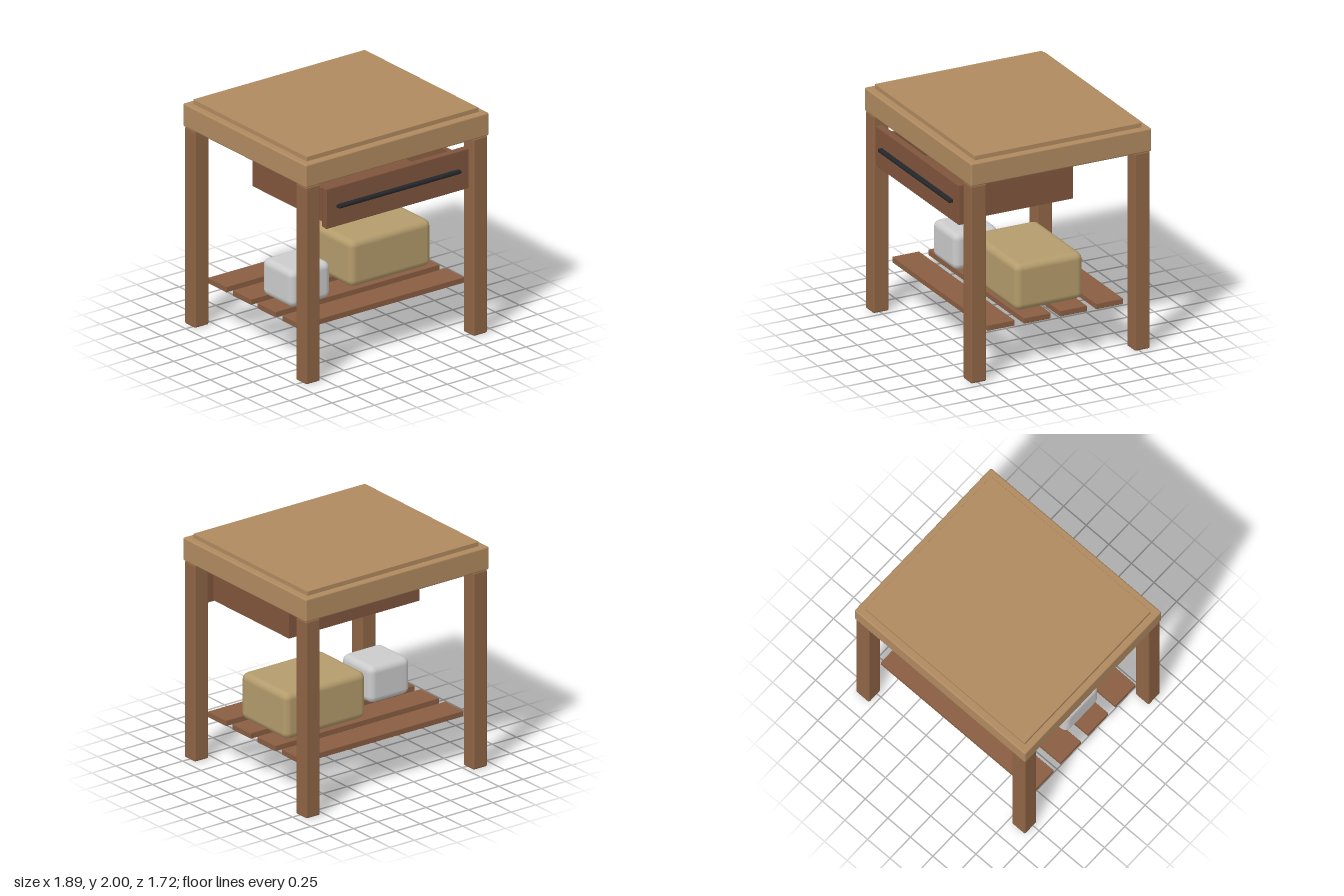
import * as THREE from 'three';
import { RoundedBoxGeometry } from 'three/addons/geometries/RoundedBoxGeometry.js';

const material = (color) => new THREE.MeshStandardMaterial({ color });

export function createModel() {
  const model = new THREE.Group();
  model.name = 'sideTable';

  const topWood = material(0xb08a60);
  const legWood = material(0x8f6545);
  const drawerWood = material(0x80553c);
  const slatWood = material(0x8a5e42);
  const black = material(0x24272a);
  const white = material(0xdcdcd8);
  const tan = material(0xb49c6c);

  // Box given by its [min, max] range on each axis, with an optional edge radius
  function block(name, mat, [x0, x1], [y0, y1], [z0, z1], radius = 0, segments = 1) {
    const size = [x1 - x0, y1 - y0, z1 - z0];
    const geometry = radius
      ? new RoundedBoxGeometry(...size, segments, radius)
      : new THREE.BoxGeometry(...size);
    const mesh = new THREE.Mesh(geometry, mat);
    mesh.name = name;
    mesh.position.set((x0 + x1) / 2, (y0 + y1) / 2, (z0 + z1) / 2);
    model.add(mesh);
    return mesh;
  }

  // Table top: thick slab with a thin raised panel
  block('topSlab', topWood, [-0.945, 0.945], [1.755, 1.96], [-0.86, 0.82], 0.014, 2);
  block('topPanel', topWood, [-0.885, 0.885], [1.95, 2.0], [-0.8, 0.755], 0.004);

  // Four square legs
  for (const side of [-1, 1]) {
    for (const [end, z] of [['front', 0.742], ['back', -0.78]]) {
      const x = side * 0.863;
      block(`${end}${side > 0 ? 'Left' : 'Right'}Leg`, legWood,
        [x - 0.072, x + 0.072], [0, 1.755], [z - 0.072, z + 0.072], 0.014, 2);
    }
  }

  // Drawer: front board, open-topped box and bar handle
  block('drawerFront', drawerWood, [-0.735, 0.735], [1.34, 1.695], [0.76, 0.825], 0.008);
  const rectangle = (Type, x, z0, z1) => new Type([
    new THREE.Vector2(-x, -z1), new THREE.Vector2(x, -z1),
    new THREE.Vector2(x, -z0), new THREE.Vector2(-x, -z0),
  ]);
  const outline = rectangle(THREE.Shape, 0.675, -0.27, 0.765);
  outline.holes.push(rectangle(THREE.Path, 0.635, -0.23, 0.74));
  const wallGeometry = new THREE.ExtrudeGeometry(outline, { depth: 0.295, bevelEnabled: false });
  wallGeometry.rotateX(-Math.PI / 2);
  const walls = new THREE.Mesh(wallGeometry, drawerWood);
  walls.name = 'drawerWalls';
  walls.position.y = 1.35;
  model.add(walls);
  block('drawerFloor', drawerWood, [-0.655, 0.655], [1.351, 1.385], [-0.25, 0.75]);
  block('drawerHandle', black, [-0.633, 0.633], [1.505, 1.537], [0.815, 0.862], 0.012, 2);

  // Slatted shelf
  for (const z of [0.488, 0.151, -0.185, -0.522]) {
    block('shelfSlat', slatWood, [-0.845, 0.845], [0.4, 0.45], [z - 0.125, z + 0.125], 0.004);
  }

  // Soft-edged boxes resting on the shelf
  block('smallBox', white, [-0.715, -0.298], [0.45, 0.78], [-0.1, 0.317], 0.06, 2);
  block('largeBox', tan, [-0.085, 0.752], [0.47, 0.885], [-0.332, 0.3], 0.06, 2);

  return model;
}
